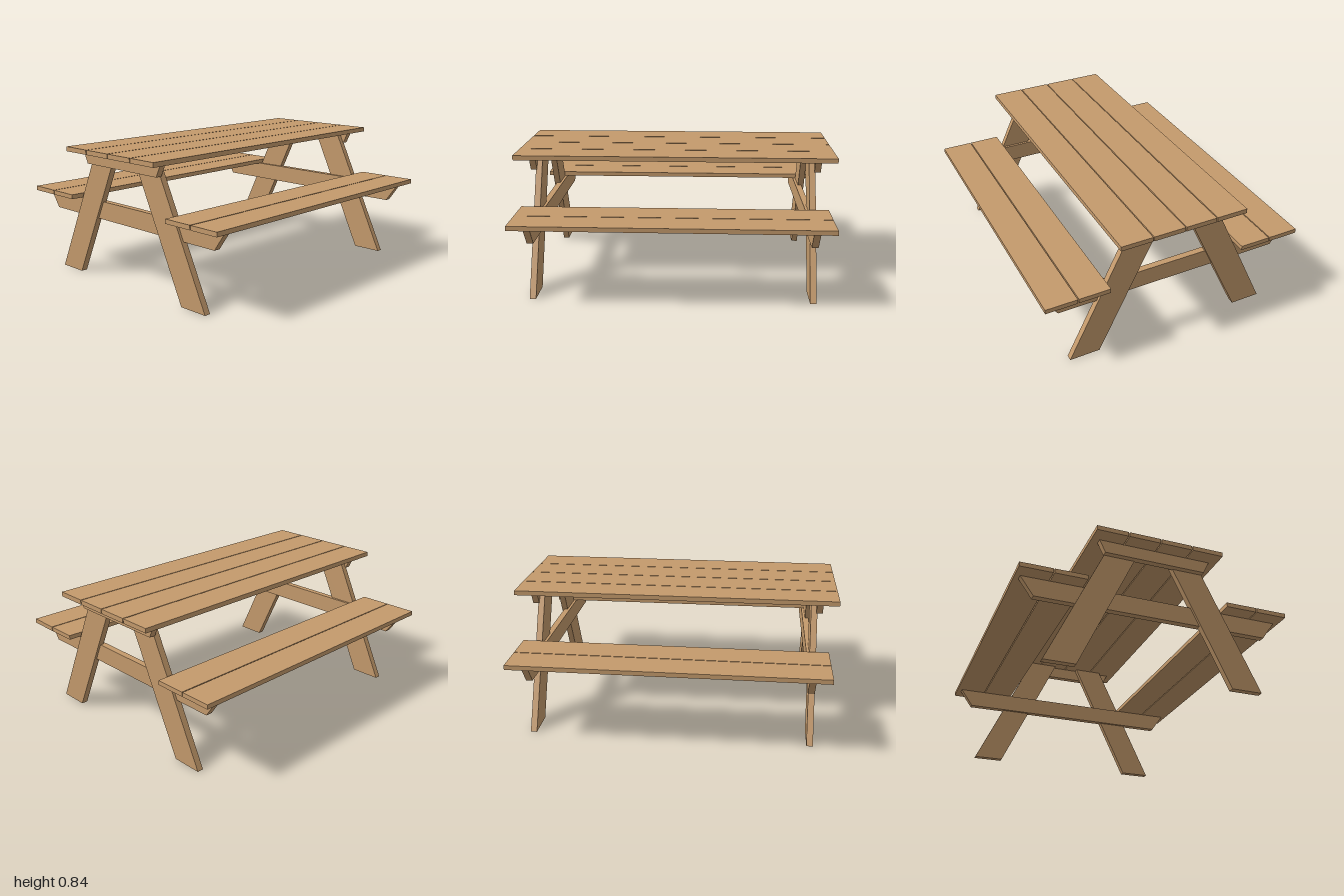
import * as THREE from 'three';

export function createModel() {
  const group = new THREE.Group();
  group.name = 'picnicTable';
  const wood = new THREE.MeshStandardMaterial({ color: 0xc49a6c });
  wood.name = 'wood';

  // Horizontal plank running front to back
  function plank(name, x0, x1, y0, y1, halfLength) {
    const mesh = new THREE.Mesh(new THREE.BoxGeometry(x1 - x0, y1 - y0, halfLength * 2), wood);
    mesh.position.set((x0 + x1) / 2, (y0 + y1) / 2, 0);
    mesh.name = name;
    group.add(mesh);
  }

  // Board cut to an outline in x/y, spanning z0 to z1
  function board(name, points, z0, z1) {
    const shape = new THREE.Shape(points.map(([x, y]) => new THREE.Vector2(x, y)));
    const geometry = new THREE.ExtrudeGeometry(shape, { depth: z1 - z0, bevelEnabled: false });
    geometry.translate(0, 0, z0);
    const mesh = new THREE.Mesh(geometry, wood);
    mesh.name = name;
    group.add(mesh);
  }

  // Table top: four planks with narrow gaps
  for (const x of [-0.403, -0.2, 0.003, 0.206]) {
    plank('tabletopPlank', x, x + 0.197, 0.81, 0.839, 1);
  }

  // Benches: two planks on each side
  for (const side of [-1, 1]) {
    for (const x of [0.535, 0.737]) {
      plank('seatPlank', side * x - 0.098, side * x + 0.098, 0.496, 0.524, 0.952);
    }
  }

  // End frames, the same at front and back
  for (const end of [-1, 1]) {
    const span = (a, b) => (end > 0 ? [a, b] : [-b, -a]);

    // Splayed legs
    for (const s of [-1, 1]) {
      board('leg', [[s * 0.475, 0], [s * 0.667, 0], [s * 0.279, 0.81], [s * 0.087, 0.81]],
        ...span(0.837, 0.876));
    }

    // Rail under the table top
    board('topRail', [[-0.318, 0.732], [0.318, 0.732], [0.355, 0.81], [-0.355, 0.81]],
      ...span(0.869, 0.908));

    // Rail carrying both benches
    board('seatRail', [[-0.725, 0.382], [0.725, 0.382], [0.806, 0.496], [-0.806, 0.496]],
      ...span(0.82, 0.86));
  }

  return group;
}
